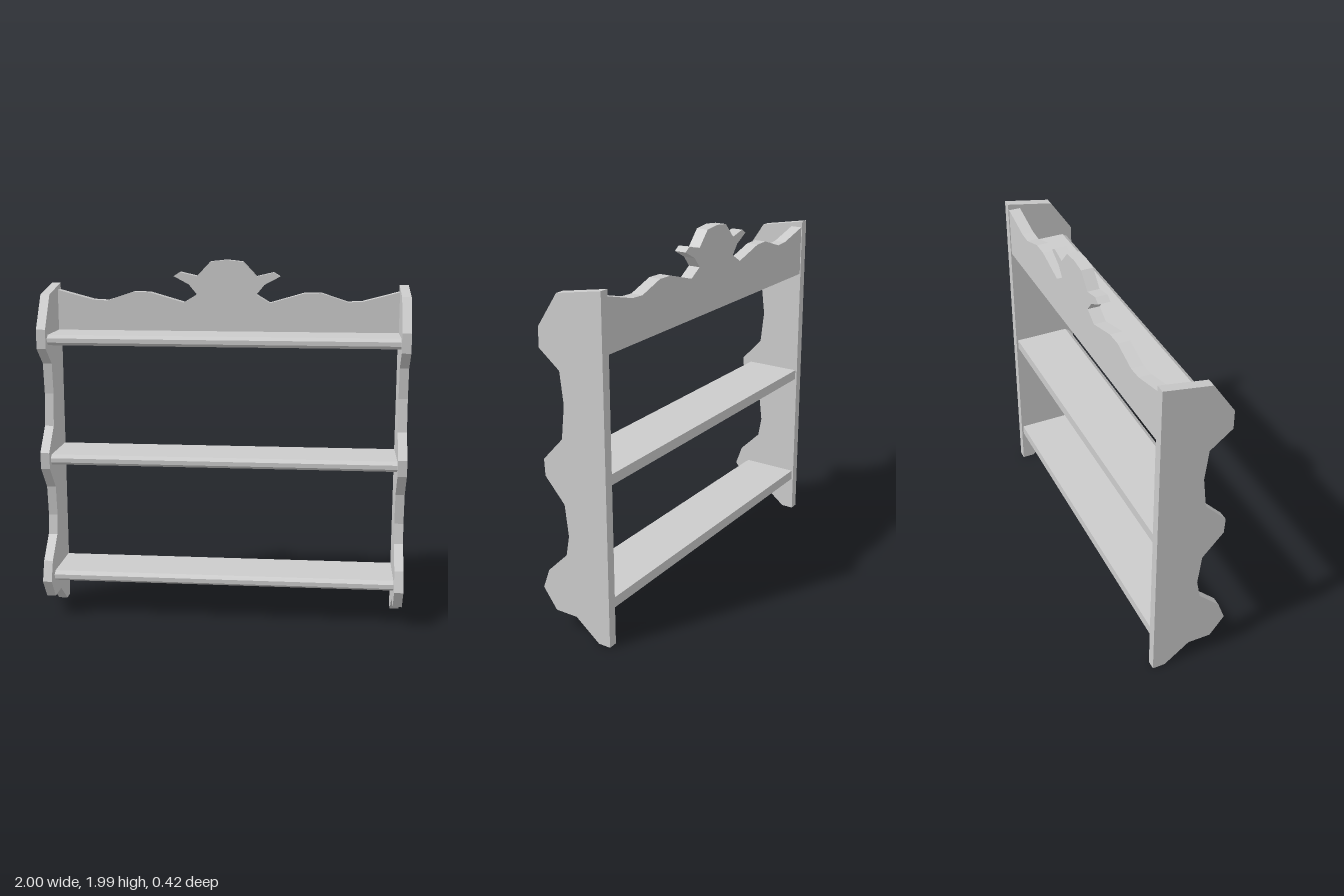
import * as THREE from 'three';

const material = new THREE.MeshStandardMaterial({ color: 0xcccccc, flatShading: true });

// Straight extrusion of a closed outline
function extrude(points, depth) {
  const shape = new THREE.Shape(points.map(([x, y]) => new THREE.Vector2(x, y)));
  return new THREE.ExtrudeGeometry(shape, { depth, bevelEnabled: false });
}

// Extrusion running along x, centred on cx, from an outline given as [z, y]
function extrudeAlongX(outline, width, cx) {
  const geometry = extrude(outline.map(([z, y]) => [-z, y]), width);
  geometry.rotateY(Math.PI / 2);
  geometry.translate(cx - width / 2, 0, 0);
  return geometry;
}

export function createModel() {
  const group = new THREE.Group();
  const add = (name, geometry) => {
    const mesh = new THREE.Mesh(geometry, material);
    mesh.name = name;
    group.add(mesh);
  };

  // Side panels with a scalloped front edge
  const side = [
    [-0.21, 0], [-0.14, 0], [0, 0.11], [0.13, 0.11], [0.21, 0.22], [0.17, 0.33],
    [0.05, 0.45], [0.03, 0.56], [0.05, 0.73], [0.165, 0.86], [0.17, 0.95],
    [0.05, 1.08], [0.03, 1.26], [0.05, 1.43], [0.17, 1.525], [0.17, 1.63],
    [0.05, 1.81], [-0.21, 1.855],
  ];
  add('leftSidePanel', extrudeAlongX(side, 0.05, 0.975));
  add('rightSidePanel', extrudeAlongX(side, 0.05, -0.975));

  // Shelves with a bevelled front edge; the top one butts against the backboard
  const shelves = [['bottomShelf', 0.2, -0.2], ['middleShelf', 0.875, -0.2], ['topShelf', 1.54, -0.14]];
  for (const [name, y, back] of shelves) {
    const profile = [
      [back, y], [0.115, y], [0.14, y + 0.017], [0.14, y + 0.04], [0.115, y + 0.057], [back, y + 0.057],
    ];
    add(name, extrudeAlongX(profile, 1.9, 0));
  }

  // Backboard with a wavy top and a carved crest, mirrored about the middle
  const half = [
    [0.95, 1.54], [0.95, 1.82], [0.75, 1.767], [0.67, 1.763], [0.52, 1.812], [0.43, 1.81],
    [0.24, 1.755], [0.165, 1.8], [0.21, 1.855], [0.295, 1.9], [0.26, 1.922],
    [0.165, 1.9], [0.09, 1.98],
  ];
  const mirrored = half.map(([x, y]) => [-x, y]).reverse();
  const backboard = extrude([...half, [0, 1.99], ...mirrored], 0.065);
  backboard.translate(0, 0, -0.205);
  add('backboard', backboard);

  return group;
}
